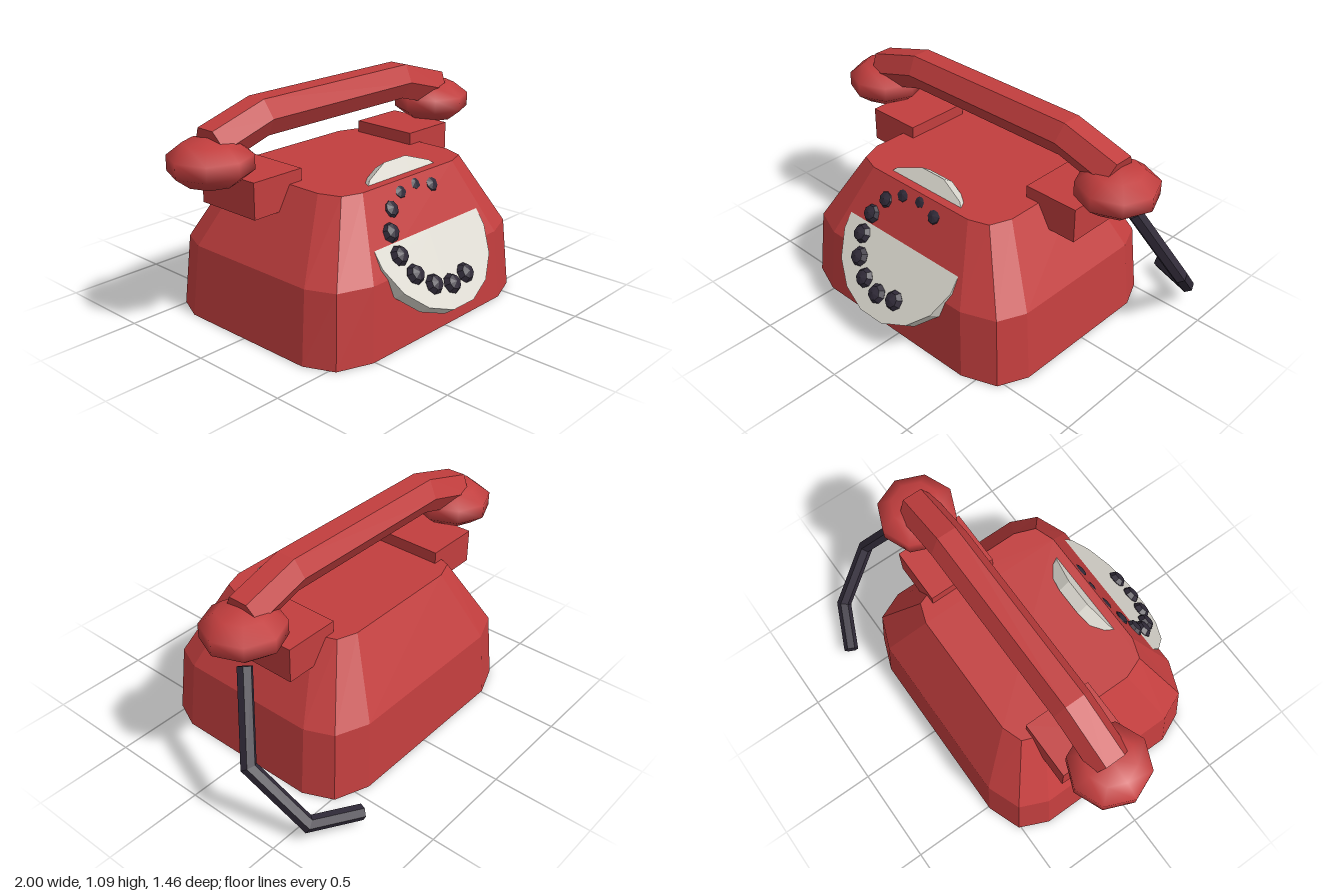
import * as THREE from 'three';

const CX = -0.04; // the body and handset sit slightly off centre because of the cord

// Skin a list of convex rings (counter-clockwise seen from the last ring) and cap both ends
function loft(rings) {
  const pos = [];
  const tri = (...pts) => pts.forEach((p) => pos.push(p.x, p.y, p.z));
  const n = rings[0].length;
  for (let i = 0; i < rings.length - 1; i++) {
    for (let j = 0; j < n; j++) {
      const k = (j + 1) % n;
      const a = rings[i][j], b = rings[i][k], c = rings[i + 1][k], d = rings[i + 1][j];
      tri(a, b, c);
      tri(a, c, d);
    }
  }
  const first = rings[0], last = rings[rings.length - 1];
  for (let j = 1; j < n - 1; j++) {
    tri(first[0], first[j + 1], first[j]);
    tri(last[0], last[j], last[j + 1]);
  }
  const geo = new THREE.BufferGeometry();
  geo.setAttribute('position', new THREE.Float32BufferAttribute(pos, 3));
  geo.computeVertexNormals();
  return geo;
}

// Faceted bar along a bent path, with mitred joints
function mitredBar(points, radius, sides) {
  const path = points.map((p) => new THREE.Vector3(...p));
  const dirs = path.slice(1).map((p, i) => p.clone().sub(path[i]).normalize());
  const v = new THREE.Vector3(0, 0, 1).addScaledVector(dirs[0], -dirs[0].z).normalize();
  const u = v.clone().cross(dirs[0]);
  const rings = [[]];
  for (let j = 0; j < sides; j++) {
    const a = ((j + 0.5) / sides) * Math.PI * 2;
    rings[0].push(path[0].clone()
      .addScaledVector(u, Math.cos(a) * radius)
      .addScaledVector(v, Math.sin(a) * radius));
  }
  for (let i = 1; i < path.length; i++) {
    const d = dirs[i - 1];
    const plane = d.clone().add(dirs[i] || d).normalize();
    rings.push(rings[i - 1].map((p) => {
      const s = path[i].clone().sub(p).dot(plane) / d.dot(plane);
      return p.clone().addScaledVector(d, s);
    }));
  }
  return loft(rings);
}

// Rectangle with two-step chamfered corners, mirrored from one corner
function bodyRing(y, corner) {
  const back = [...corner].reverse().map(([x, z]) => [x, -z]);
  const half = [...corner, ...back];
  const other = [...half].reverse().map(([x, z]) => [-x, z]);
  return [...half, ...other].map(([x, z]) => new THREE.Vector3(CX + x, y, 0.01 + z));
}

export function createModel() {
  const group = new THREE.Group();
  const material = (name, color, flatShading = true) => {
    const m = new THREE.MeshStandardMaterial({ color });
    m.name = name;
    m.flatShading = flatShading;
    return m;
  };
  const red = material('red', 0xc23e3e);
  const smoothRed = material('smooth red', 0xc23e3e, false);
  const cream = material('cream', 0xdcd9d0);
  const dark = material('dark plum', 0x302a38);

  const add = (name, geo, mat, x = 0, y = 0, z = 0, parent = group) => {
    const mesh = new THREE.Mesh(geo, mat);
    mesh.name = name;
    mesh.position.set(x, y, z);
    parent.add(mesh);
    return mesh;
  };

  // Body: steep lower walls, strongly tapered upper walls
  add('body', loft([
    bodyRing(0, [[0.47, 0.585], [0.64, 0.52], [0.705, 0.375]]),
    bodyRing(0.355, [[0.445, 0.562], [0.61, 0.497], [0.67, 0.36]]),
    bodyRing(0.71, [[0.32, 0.38], [0.42, 0.345], [0.46, 0.24]]),
  ]), red);

  // Cradle blocks and earpieces on both sides
  for (const [side, s] of [['left', 1], ['right', -1]]) {
    add(side + 'Cradle', new THREE.BoxGeometry(0.29, 0.175, 0.355), red,
      CX + s * 0.53, 0.6825, -0.1075);
    const ear = add(side + 'Earpiece', new THREE.SphereGeometry(0.205, 8, 5), smoothRed,
      CX + s * 0.767, 0.85, -0.105);
    ear.scale.y = 0.115 / 0.205;
  }

  // Six-sided handset bar, bent down at both ends
  add('handsetBar', mitredBar([
    [CX - 0.767, 0.92, -0.103],
    [CX - 0.478, 1.004, -0.103],
    [CX + 0.478, 1.004, -0.103],
    [CX + 0.767, 0.92, -0.103],
  ], 0.1, 6), red);

  // Dial: its local z points out of the sloping front
  const dial = new THREE.Group();
  dial.name = 'dial';
  dial.position.set(CX, 0.47, 0.515);
  dial.rotation.x = -Math.atan2(0.576, 0.817);
  group.add(dial);
  const disc = new THREE.CylinderGeometry(0.38, 0.38, 0.067, 16);
  disc.rotateY(Math.PI / 16).rotateX(Math.PI / 2);
  add('dialDisc', disc, cream, 0, 0, -0.0335, dial);

  // Ten knobs around the dial
  const knob = new THREE.SphereGeometry(0.05, 8, 4).rotateX(Math.PI / 2).scale(1, 1, 0.7);
  for (let i = 0; i < 10; i++) {
    const a = THREE.MathUtils.degToRad(59 + i * 25.9);
    const k = add('dialKnob' + (i + 1), knob, dark,
      0.25 * Math.cos(a), -0.012 + 0.25 * Math.sin(a), 0.004, dial);
    k.rotation.z = a;
  }

  // Cord from the left earpiece round towards the back
  add('cord', mitredBar([
    [0.79, 0.715, -0.165],
    [0.962, 0.355, -0.335],
    [0.862, 0.1, -0.585],
    [0.625, 0.065, -0.695],
  ], 0.037, 6), dark);

  return group;
}
